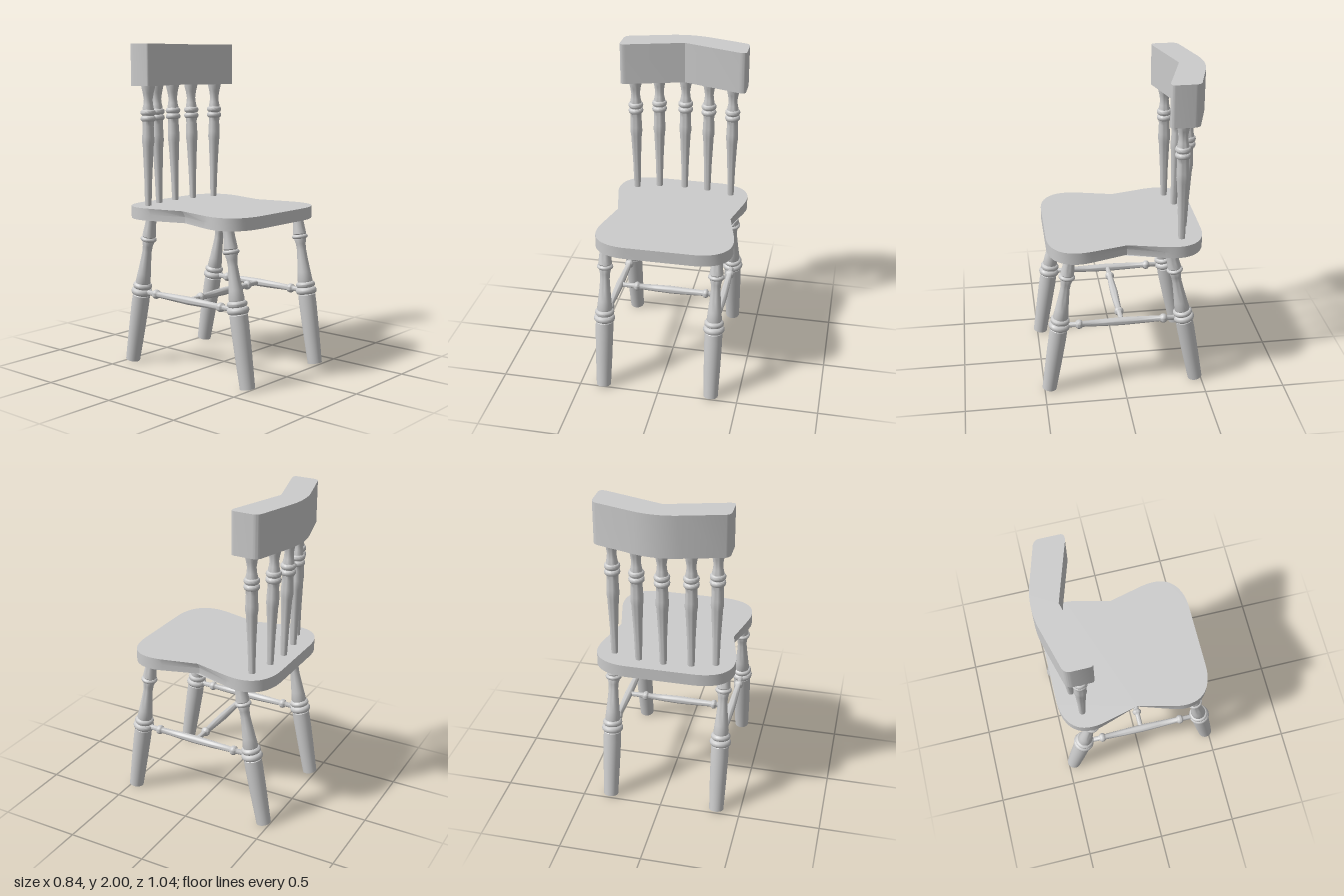
import * as THREE from 'three';
import { toCreasedNormals } from 'three/addons/utils/BufferGeometryUtils.js';

const material = new THREE.MeshStandardMaterial({ color: 0xcccccc });

// Turned part between two points. Profile rows: [t, r], or [t, r, h] for a round bead
// of half height h (t and h are fractions of the length).
function turned(name, profile, from, to) {
  const a = new THREE.Vector3(...from), b = new THREE.Vector3(...to);
  const length = a.distanceTo(b);
  const points = [new THREE.Vector2(0, 0)];
  for (const [t, r, h] of profile) {
    if (!h) { points.push(new THREE.Vector2(r, t * length)); continue; }
    for (let i = 0; i <= 6; i++) {
      const angle = (i / 6 - 0.5) * Math.PI;
      points.push(new THREE.Vector2(r * (0.75 + 0.25 * Math.cos(angle)), (t + h * Math.sin(angle)) * length));
    }
  }
  points.push(new THREE.Vector2(0, length));
  const geometry = toCreasedNormals(new THREE.LatheGeometry(points, 24), 0.7);
  const mesh = new THREE.Mesh(geometry, material);
  mesh.name = name;
  mesh.position.copy(a);
  mesh.quaternion.setFromUnitVectors(new THREE.Vector3(0, 1, 0), b.sub(a).normalize());
  return mesh;
}

// Plan outline (x, z) extruded downwards from the height "top"
function slab(shape, top, thickness, steps = 1) {
  const geometry = new THREE.ExtrudeGeometry(shape, { depth: thickness, steps, bevelEnabled: false, curveSegments: 10 });
  return geometry.rotateX(Math.PI / 2).translate(0, top, 0);
}

function createSeat() {
  // One quarter of the waisted outline, mirrored both ways about z = -0.02
  const quarter = new THREE.Path();
  quarter.moveTo(0.358, 0);
  quarter.lineTo(0.412, 0.22);
  quarter.bezierCurveTo(0.428, 0.3, 0.422, 0.36, 0.385, 0.405);
  quarter.bezierCurveTo(0.35, 0.45, 0.28, 0.475, 0.2, 0.475);
  const q = quarter.getPoints(8);
  const back = [...q].reverse();
  const place = (list, sx, sz) => list.map(p => new THREE.Vector2(p.x * sx, p.y * sz - 0.02));
  const outline = [
    ...place(q, 1, 1), ...place(back, -1, 1),
    ...place(q.slice(1), -1, -1), ...place(back.slice(0, -1), 1, -1),
  ];
  const geometry = slab(new THREE.Shape(outline), 1.005, 0.075, 2);
  // Undercut the lower edge at the waist
  const pos = geometry.attributes.position;
  for (let i = 0; i < pos.count; i++) {
    const waist = Math.max(0, 1 - Math.abs(pos.getZ(i) + 0.02) / 0.27);
    if (pos.getY(i) < 0.99) pos.setX(i, pos.getX(i) * (1 - 0.06 * waist));
  }
  const seat = new THREE.Mesh(toCreasedNormals(geometry, 0.5), material);
  seat.name = 'seat';
  return seat;
}

function createTopRail() {
  // Curved behind, with a shallow V in front
  const s = new THREE.Shape();
  s.moveTo(0, -0.37);
  s.lineTo(0.35, -0.258);
  s.quadraticCurveTo(0.394, -0.248, 0.394, -0.28);
  s.lineTo(0.394, -0.39);
  s.quadraticCurveTo(0.394, -0.42, 0.365, -0.433);
  s.lineTo(0.14, -0.5);
  s.quadraticCurveTo(0, -0.54, -0.14, -0.496);
  s.lineTo(-0.36, -0.436);
  s.quadraticCurveTo(-0.39, -0.425, -0.39, -0.39);
  s.lineTo(-0.39, -0.29);
  s.quadraticCurveTo(-0.39, -0.262, -0.35, -0.272);
  s.closePath();
  const rail = new THREE.Mesh(toCreasedNormals(slab(s, 2, 0.255), 0.5), material);
  rail.name = 'topRail';
  return rail;
}

export function createModel() {
  const chair = new THREE.Group();
  chair.name = 'chair';
  chair.add(createSeat(), createTopRail());

  // Back spindles: slim shaft, swelling, two beads, flared top
  const spindle = [
    [0, 0.02], [0.25, 0.025], [0.5, 0.034], [0.53, 0.038], [0.58, 0.037], [0.66, 0.034],
    [0.72, 0.047, 0.022], [0.768, 0.047, 0.022], [0.8, 0.035], [0.83, 0.03], [0.87, 0.027],
    [0.92, 0.033], [0.97, 0.042], [1, 0.043],
  ];
  const spindleSpots = [
    [-0.31, -0.355, -0.345], [-0.17, -0.395, -0.41], [-0.005, -0.41, -0.43],
    [0.148, -0.395, -0.41], [0.307, -0.355, -0.345],
  ];
  for (const [x, z0, z1] of spindleSpots) {
    chair.add(turned('backSpindle', spindle, [x, 0.99, z0], [x, 1.76, z1]));
  }

  // Legs: tapered foot, two collars, narrow neck, upper bead
  const leg = [
    [0, 0.045], [0.2, 0.051], [0.4, 0.055], [0.465, 0.054], [0.492, 0.066, 0.022], [0.533, 0.06, 0.019],
    [0.56, 0.047], [0.62, 0.041], [0.7, 0.034], [0.77, 0.029], [0.81, 0.031], [0.84, 0.038],
    [0.858, 0.05, 0.014], [0.878, 0.042], [0.92, 0.038], [0.96, 0.034], [1, 0.034],
  ];
  // Stretchers: thin ends, a bead at each side, a slightly swollen middle
  const stretcher = end => [
    [0, 0.015], [end - 0.03, 0.016], [end, 0.029, 0.02], [end + 0.03, 0.018], [0.35, 0.022], [0.5, 0.025],
    [0.65, 0.022], [0.97 - end, 0.018], [1 - end, 0.029, 0.02], [1.03 - end, 0.016], [1, 0.015],
  ];
  for (const x of [-0.352, 0.332]) {
    const shift = x < 0 ? 0.005 : -0.005;
    chair.add(
      turned('frontLeg', leg, [x, 0.01, 0.475 + shift], [x, 0.935, 0.328 + shift]),
      turned('backLeg', leg, [x, 0.01, -0.463], [x, 0.935, -0.288]),
      turned('sideStretcher', stretcher(0.165), [x, 0.463, 0.405], [x, 0.463, -0.38]),
    );
  }
  chair.add(turned('crossStretcher', stretcher(0.17), [-0.352, 0.463, 0.012], [0.332, 0.463, 0.012]));
  return chair;
}
